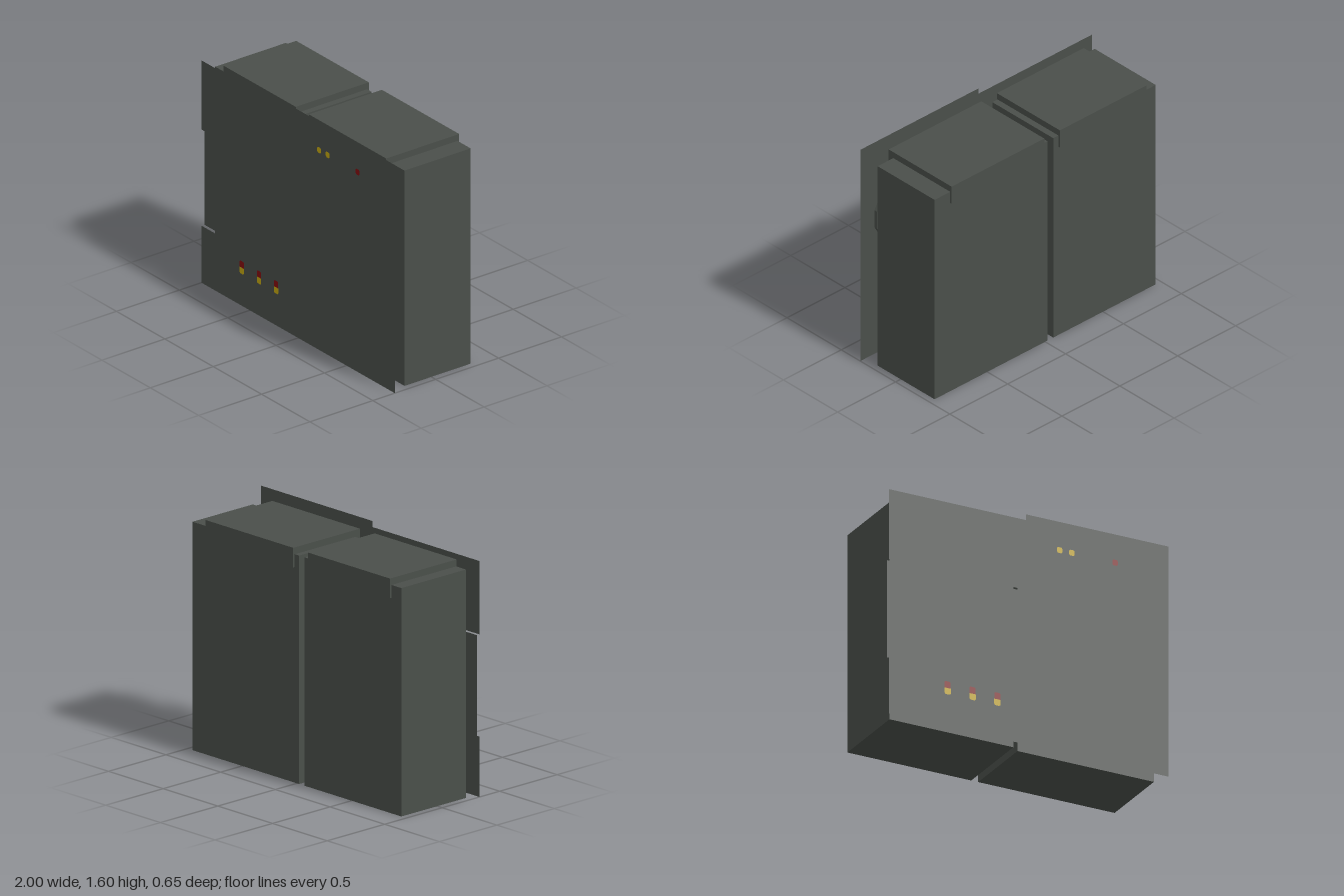
import * as THREE from 'three';

export function createModel() {
  const group = new THREE.Group();
  const body = new THREE.MeshStandardMaterial({ name: 'dark grey green', color: 0x4a4f4a, side: THREE.DoubleSide });
  const yellow = new THREE.MeshStandardMaterial({ name: 'yellow', color: 0xc6aa12, side: THREE.DoubleSide });
  const red = new THREE.MeshStandardMaterial({ name: 'red', color: 0x860c10, side: THREE.DoubleSide });
  const FRONT = 0.325;

  const add = (name, geometry, material, x = 0, y = 0, z = 0) => {
    const mesh = new THREE.Mesh(geometry, material);
    mesh.name = name;
    mesh.position.set(x, y, z);
    group.add(mesh);
    return mesh;
  };
  // box given by its limits on each axis
  const box = (name, [x0, x1], [y0, y1], [z0, z1]) =>
    add(name, new THREE.BoxGeometry(x1 - x0, y1 - y0, z1 - z0), body, (x0 + x1) / 2, (y0 + y1) / 2, (z0 + z1) / 2);
  const flat = (points) => new THREE.ShapeGeometry(new THREE.Shape(points.map(([x, y]) => new THREE.Vector2(x, y))));

  // thin front plate with a notch cut in from the side
  add('frontPlate', flat([
    [-1, 0], [1, 0], [1, 1.6], [-0.02, 1.6], [-0.02, 1.56], [-1, 1.56],
    [-1, 1.075], [-0.02, 1.075], [-0.02, 0.4], [-1, 0.4],
  ]), body, 0, 0, FRONT);

  // panel set back behind the notch
  add('recessedPanel', new THREE.PlaneGeometry(0.98, 0.675), body, -0.51, 0.7375, 0.302);

  // two cabinets with overhanging lids
  box('rightCabinet', [-0.955, -0.07], [0, 1.51], [-0.312, 0.25]);
  box('rightLid', [-0.865, -0.115], [1.425, 1.555], [-0.325, 0.255]);
  box('leftCabinet', [-0.02, 0.955], [0, 1.51], [-0.312, 0.213]);
  box('leftLid', [0.02, 0.82], [1.425, 1.555], [-0.325, 0.255]);

  // twelve-sided drum and disc behind the plate
  const drum = new THREE.CylinderGeometry(0.2475, 0.2475, 0.026, 12).toNonIndexed();
  drum.rotateX(Math.PI / 2).rotateZ(Math.PI / 12);
  drum.computeVertexNormals();
  add('drum', drum, body, 0.64, 1.024, 0.311);
  add('drumDisc', new THREE.CircleGeometry(0.2304, 12, Math.PI / 12), body, 0.64, 1.023, 0.262);

  // indicator lights: small squares with cut corners at the top, bottom or both
  const light = (name, material, x, y, w, h, top, bottom) => {
    const a = w / 2, b = h / 2;
    add(name, flat([
      [-a + bottom, -b], [a - bottom, -b], [a, -b + bottom], [a, b - top],
      [a - top, b], [-a + top, b], [-a, b - top], [-a, -b + bottom],
    ]), material, x, y, FRONT + 0.002);
  };
  light('upperLight', yellow, 0.22, 1.403, 0.04, 0.04, 0.008, 0.008);
  light('upperLight', yellow, 0.308, 1.403, 0.04, 0.04, 0.008, 0.008);
  light('upperLight', red, 0.617, 1.403, 0.04, 0.04, 0.008, 0.008);
  for (const x of [-0.58, -0.402, -0.225]) {
    light('lowerLightTop', red, x, 0.291, 0.043, 0.046, 0.006, 0.001);
    light('lowerLightBottom', yellow, x, 0.246, 0.046, 0.044, 0.001, 0.009);
  }
  return group;
}
